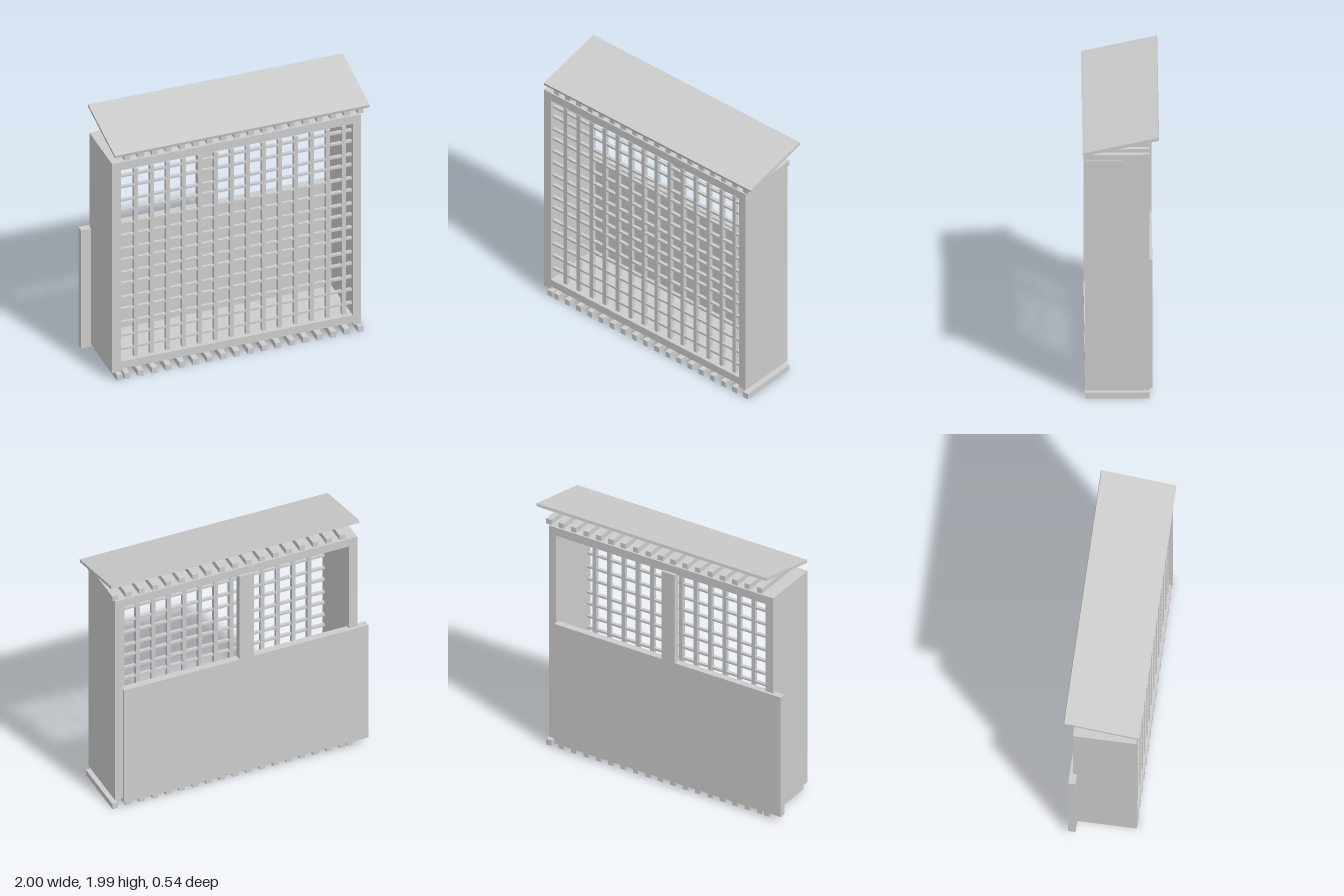
import * as THREE from 'three';

export function createModel() {
  const root = new THREE.Group();
  const material = new THREE.MeshStandardMaterial({ color: 0xcccccc, flatShading: true });

  // Box given by its min and max on each axis
  function board(name, [x0, x1], [y0, y1], [z0, z1], parent = root) {
    const mesh = new THREE.Mesh(new THREE.BoxGeometry(x1 - x0, y1 - y0, z1 - z0), material);
    mesh.position.set((x0 + x1) / 2, (y0 + y1) / 2, (z0 + z1) / 2);
    mesh.name = name;
    parent.add(mesh);
    return mesh;
  }
  function group(name) {
    const g = new THREE.Group();
    g.name = name;
    root.add(g);
    return g;
  }

  const depth = [-0.2, 0.25];
  const inner = [-0.86, 0.88];

  // Open case
  const frame = group('frame');
  board('rightWall', [-0.925, inner[0]], [0.07, 1.795], depth, frame);
  board('leftWall', [inner[1], 0.94], [0.07, 1.795], depth, frame);
  board('topBoard', inner, [1.73, 1.795], depth, frame);
  board('bottomBoard', inner, [0.09, 0.15], depth, frame);

  // Half-height back panel, offset past the right wall, and the post above it
  board('backPanel', [-1, 0.88], [0.045, 1.02], [-0.222, -0.17]);
  board('backPost', [-0.12, -0.01], [1.02, 1.737], [-0.222, -0.17]);

  // Front lattice
  const lattice = group('lattice');
  for (let i = 0; i < 14; i++) {
    const x = -0.74 + i * 0.12;
    board('latticeUpright', [x - 0.015, x + 0.015], [0.16, 1.71], [0.205, 0.235], lattice);
  }
  const rails = [0.24, 0.35, 0.455, 0.565, 0.66, 0.775, 0.865, 0.97, 1.06, 1.17, 1.27, 1.38, 1.465, 1.575, 1.665];
  for (const y of rails) {
    board('latticeRail', inner, [y - 0.008, y + 0.008], [0.208, 0.232], lattice);
  }

  // Rows of slats under the case and under the roof
  const lowerSlats = group('lowerSlats');
  const upperSlats = group('upperSlats');
  for (let i = 0; i < 18; i++) {
    const x = 0.94 - i * 0.103;
    const span = [x - 0.0215, x + 0.0215];
    board('lowerSlat', span, [0, 0.045], depth, lowerSlats);
    board('upperSlat', span, [1.805, 1.845], depth, upperSlats);
  }
  board('lowerEndSlat', [-0.89, -0.847], [0, 0.045], depth, lowerSlats);

  // Roof sloping down to the front
  const roof = board('roof', [-0.91, 1], [1.907, 1.929], [-0.272, 0.272]);
  roof.rotation.x = 0.218;

  return root;
}
